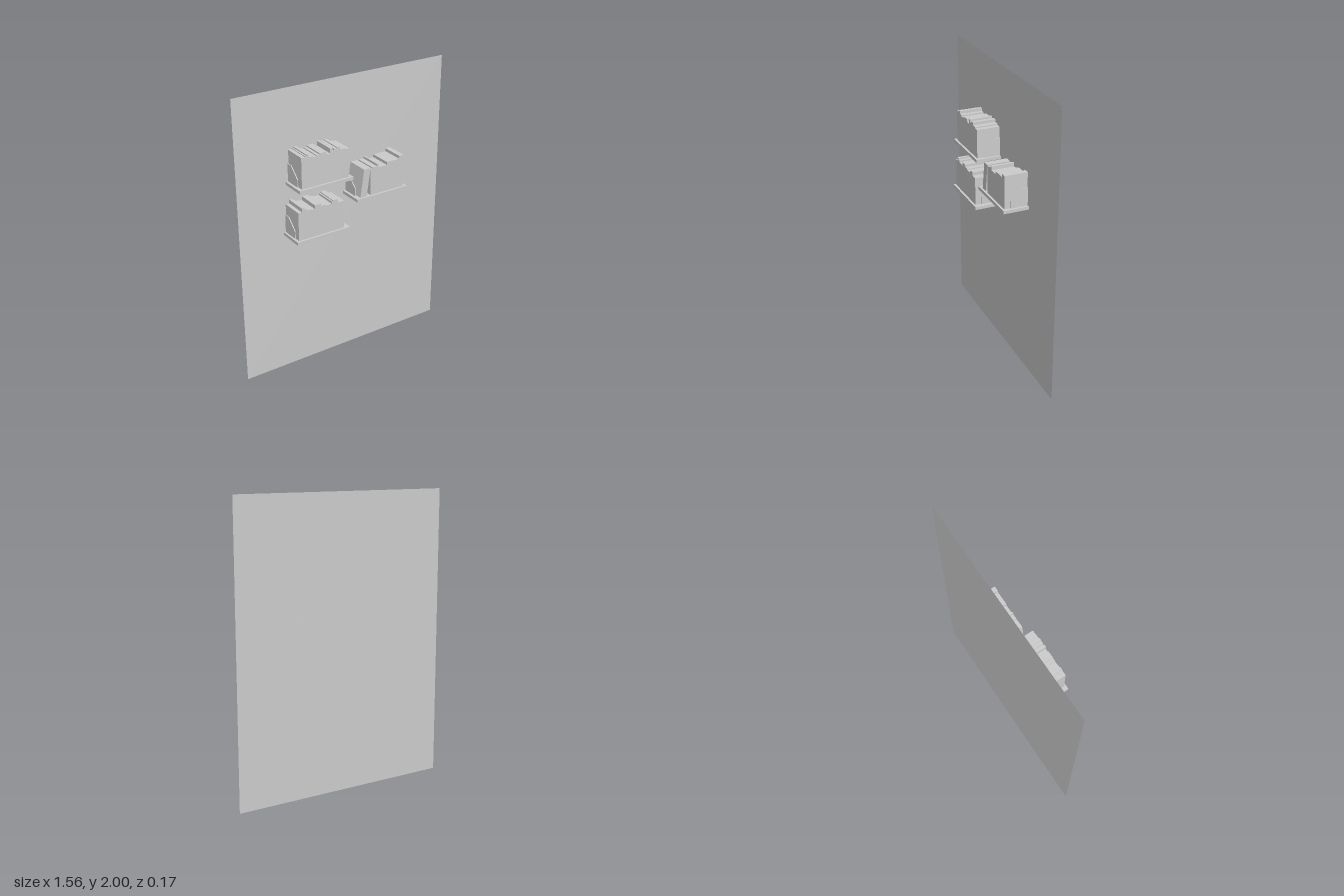
import * as THREE from 'three';

const BACK = -0.086, FRONT = 0.086, BOOK_FRONT = 0.071;
const grey = new THREE.MeshStandardMaterial({ color: 0xcccccc, flatShading: true });
const wallGrey = new THREE.MeshStandardMaterial({ color: 0xcccccc, side: THREE.DoubleSide });

// Box given by its limits in x and y, reaching from the wall to zFront
function box(name, x0, x1, y0, y1, zFront) {
  const mesh = new THREE.Mesh(new THREE.BoxGeometry(x1 - x0, y1 - y0, zFront - BACK), grey);
  mesh.position.set((x0 + x1) / 2, (y0 + y1) / 2, (zFront + BACK) / 2);
  mesh.name = name;
  return mesh;
}

// Thin upright plate with a sloping front corner
function bookend(x, y) {
  const t = 0.006;
  const s = new THREE.Shape();
  s.moveTo(-BACK, 0);
  s.lineTo(-BACK, 0.122);
  s.lineTo(0.045, 0.122);
  s.lineTo(-0.03, 0.052);
  s.lineTo(-0.03, 0);
  s.closePath();
  const geo = new THREE.ExtrudeGeometry(s, { depth: t, bevelEnabled: false });
  geo.translate(0, 0, -t / 2).rotateY(Math.PI / 2);
  const mesh = new THREE.Mesh(geo, grey);
  mesh.position.set(x, y, 0);
  mesh.name = 'bookend';
  return mesh;
}

// Each book: [right edge, height]; it starts where the one before ends
const shelves = [
  {
    name: 'upperShelf', x0: -0.435, x1: -0.037, y: 1.385, ends: [-0.415, -0.055], start: -0.41,
    books: [[-0.384, 0.212], [-0.373, 0.217], [-0.354, 0.225], [-0.325, 0.206], [-0.299, 0.196],
      [-0.278, 0.203], [-0.23, 0.212], [-0.201, 0.193], [-0.183, 0.225], [-0.172, 0.206],
      [-0.151, 0.217], [-0.13, 0.223], [-0.093, 0.204], [-0.061, 0.196]],
  },
  {
    name: 'lowerShelf', x0: -0.46, x1: -0.063, y: 1.034, ends: [-0.444, -0.096], start: -0.441,
    books: [[-0.415, 0.196], [-0.397, 0.222], [-0.378, 0.21], [-0.341, 0.198], [-0.32, 0.193],
      [-0.275, 0.22], [-0.241, 0.203], [-0.193, 0.196], [-0.183, 0.21], [-0.146, 0.217], [-0.1, 0.193]],
  },
  {
    name: 'rightShelf', x0: -0.005, x1: 0.392, y: 1.212, ends: [0.016, 0.372], start: 0.106,
    books: [[0.119, 0.185], [0.156, 0.193], [0.169, 0.208], [0.235, 0.183], [0.333, 0.203], [0.368, 0.224]],
    leaning: { x0: 0.027, x1: 0.077, height: 0.193, shift: 0.028, count: 4 },
  },
];

function buildShelf(s) {
  const group = new THREE.Group();
  group.name = s.name;
  group.add(box('shelfBoard', s.x0, s.x1, s.y - 0.021, s.y, FRONT));
  for (const x of s.ends) group.add(bookend(x, s.y));

  // Upright books
  let left = s.start;
  for (const [right, height] of s.books) {
    group.add(box('book', left, right, s.y, s.y + height, BOOK_FRONT));
    left = right;
  }

  // Slim books tilted against the upright ones
  if (s.leaning) {
    const { x0, x1, height, shift, count } = s.leaning;
    const w = (x1 - x0) / count;
    for (let i = 0; i < count; i++) {
      const book = box('leaningBook', x0 + i * w, x0 + (i + 1) * w, s.y, s.y + height, BOOK_FRONT);
      const p = book.geometry.attributes.position;
      for (let k = 0; k < p.count; k++) {
        p.setX(k, p.getX(k) + shift * (p.getY(k) / height + 0.5));
      }
      book.geometry.computeVertexNormals();
      group.add(book);
    }
  }
  return group;
}

export function createModel() {
  const model = new THREE.Group();
  model.name = 'wallWithBookshelves';

  // Wall panel
  const wall = new THREE.Mesh(new THREE.PlaneGeometry(1.564, 2), wallGrey);
  wall.position.set(0, 1, BACK);
  wall.name = 'wall';
  model.add(wall);

  for (const s of shelves) model.add(buildShelf(s));
  return model;
}
